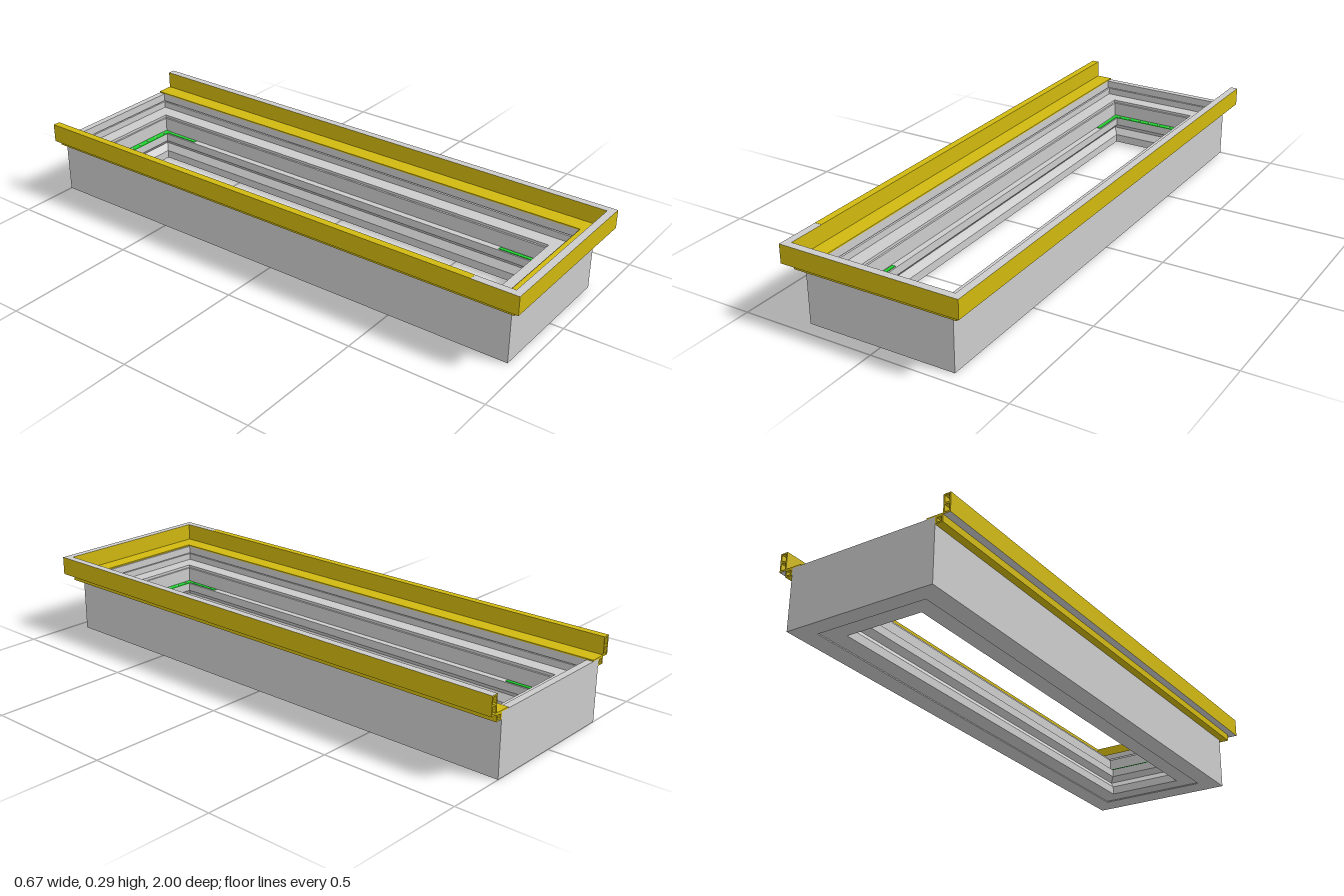
import * as THREE from 'three';

const material = (color) => new THREE.MeshStandardMaterial({ color, side: THREE.DoubleSide });
const grey = material(0xcccccc);
const yellow = material(0xd0b80f);
const green = material(0x22d030);

// Corner paths in plan: each gives the corners for a profile point at half-width x
const bodyPath = (x) => {
  const half = x + 0.696;
  const [back, front] = x >= 0.278 ? [-1, 0.95] : [-0.034 - half, -0.034 + half];
  return [[x, back], [x, front], [-x, front], [-x, back], [x, back]];
};
const framePath = (x) => [[x, -1], [x, x + 0.667], [-x, x + 0.667], [-x, -1]];

// Sweeps an (x, y) profile along a mitred path, one flat strip per profile edge
function sweep(profile, path) {
  const pos = [];
  for (let j = 0; j < profile.length - 1; j++) {
    const [a, b] = [profile[j], profile[j + 1]];
    const [pa, pb] = [path(a[0]), path(b[0])];
    for (let i = 0; i < pa.length - 1; i++) {
      const v = ([x, z], y) => [x, y, z];
      const p00 = v(pa[i], a[1]), p01 = v(pb[i], b[1]);
      const p10 = v(pa[i + 1], a[1]), p11 = v(pb[i + 1], b[1]);
      pos.push(...p00, ...p01, ...p11, ...p00, ...p11, ...p10);
    }
  }
  const g = new THREE.BufferGeometry();
  g.setAttribute('position', new THREE.Float32BufferAttribute(pos, 3));
  g.computeVertexNormals();
  return g;
}

const rect = (x0, x1, y0, y1) => [[x0, y0], [x0, y1], [x1, y1], [x1, y0], [x0, y0]];
const toPoints = (list, s) => list.map(([x, y]) => new THREE.Vector2(s * x, y));

export function createModel() {
  const group = new THREE.Group();
  const add = (name, geometry, mat) => {
    const mesh = new THREE.Mesh(geometry, mat);
    mesh.name = name;
    group.add(mesh);
    return mesh;
  };
  const box = (name, x, y, z, w, h, d, mat) =>
    add(name, new THREE.BoxGeometry(w, h, d), mat).position.set(x, y, z);

  // Trough body: outer wall, stepped seat, throat with a V groove, recessed base
  add('body', sweep([
    [0.278, 0], [0.278, 0.225], [0.245, 0.225], [0.245, 0.19], [0.238, 0.19],
    [0.238, 0.2], [0.23, 0.2], [0.23, 0.175], [0.175, 0.175], [0.175, 0.165],
    [0.168, 0.165], [0.168, 0.11], [0.144, 0.11], [0.144, 0.08], [0.162, 0.06],
    [0.144, 0.035], [0.144, 0.004], [0.208, 0.004], [0.208, 0], [0.278, 0],
  ], bodyPath), grey);

  // Edge frame on three sides, open at the back
  const lower = [[0.278, 0.2], [0.306, 0.2], [0.306, 0.225]];
  const outer = [[0.333, 0.225], [0.333, 0.293]];
  const inner = [[0.306, 0.293], [0.306, 0.23], [0.245, 0.23], [0.245, 0.225], [0.278, 0.225]];
  add('frameStep', sweep(lower, framePath), yellow);
  add('frameOuterFace', sweep(outer, framePath), yellow);
  add('frameInnerFlange', sweep(inner, framePath), yellow);
  add('frameRim', sweep([[0.333, 0.293], [0.306, 0.293]], framePath), grey);
  add('frameUnderside', sweep([[0.306, 0.225], [0.333, 0.225]], framePath), grey);
  box('rimCover', -0.3195, 0.293, -0.085, 0.027, 0.001, 1.83, yellow);

  // Hollow chambers and the cut ends of the rails
  const chambers = [
    rect(0.311, 0.328, 0.231, 0.256), rect(0.311, 0.328, 0.263, 0.288),
    rect(0.284, 0.301, 0.205, 0.22),
  ];
  chambers.forEach((c) => add('frameChamber', sweep(c, framePath), yellow));
  for (const s of [1, -1]) {
    const shape = new THREE.Shape(toPoints([...lower, ...outer, ...inner], s));
    chambers.forEach((c) => shape.holes.push(new THREE.Path(toPoints(c, s))));
    add('railEnd', new THREE.ShapeGeometry(shape), yellow).position.z = -1;
  }

  // Green marker strips on the throat ledge, with short returns along the sides
  for (const e of [1, -1]) {
    const at = (z) => -0.034 + e * z;
    box('endStrip', 0, 0.111, at(0.851), 0.33, 0.003, 0.024, green);
    for (const s of [1, -1]) {
      box('sideStrip', s * 0.156, 0.111, at(0.769), 0.014, 0.003, 0.14, green);
    }
    for (let i = -3; i <= 3; i++) {
      box('stripPin', i * 0.045, 0.1125, at(0.851), 0.008, 0.002, 0.006, grey);
    }
  }
  return group;
}
